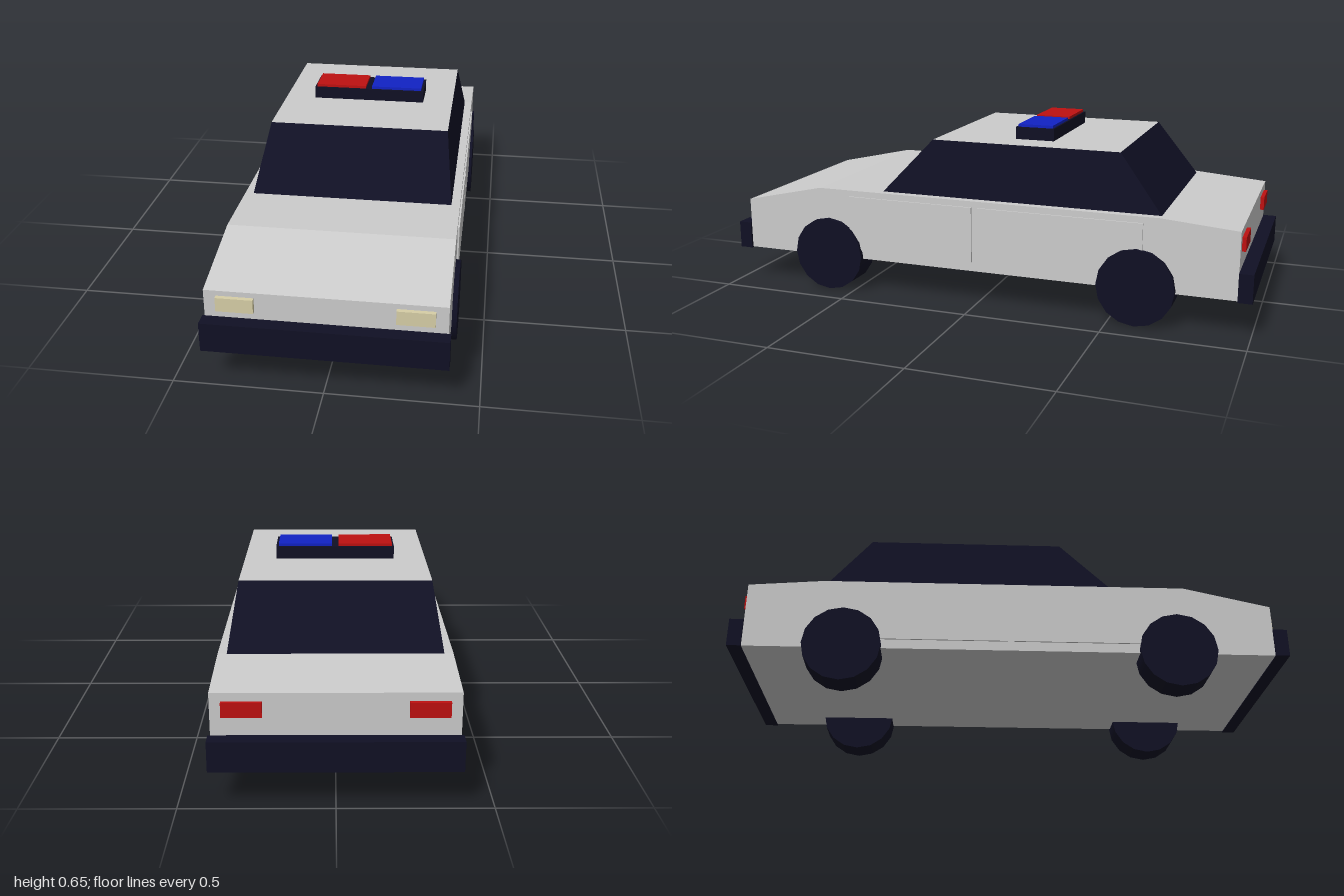
import * as THREE from 'three';

const paint = (name, color) => new THREE.MeshStandardMaterial({ name, color });

export function createModel() {
  const white = paint('bodyPaint', 0xcccccc);
  const dark = paint('darkTrim', 0x101024);
  const red = paint('redLamp', 0xbe1111);
  const blue = paint('blueLamp', 0x1122c4);
  const cream = paint('headlightCream', 0xd6cea6);

  const car = new THREE.Group();
  car.name = 'car';

  const add = (name, geometry, material) => {
    const mesh = new THREE.Mesh(geometry, material);
    mesh.name = name;
    car.add(mesh);
    return mesh;
  };
  // Box given by its limits on each axis
  const box = (name, material, [x0, x1], [y0, y1], [z0, z1]) =>
    add(name, new THREE.BoxGeometry(x1 - x0, y1 - y0, z1 - z0), material)
      .position.set((x0 + x1) / 2, (y0 + y1) / 2, (z0 + z1) / 2);

  // Lower body: side profile (z, y) extruded across the width
  const profile = new THREE.Shape([
    [0.95, 0.13], [0.95, 0.325], [0.635, 0.395], [-0.675, 0.395], [-0.95, 0.373], [-0.95, 0.13],
  ].map(([z, y]) => new THREE.Vector2(z, y)));
  const bodyGeometry = new THREE.ExtrudeGeometry(profile, { depth: 0.784, bevelEnabled: false });
  bodyGeometry.translate(0, 0, -0.392).rotateY(-Math.PI / 2);
  add('body', bodyGeometry, white);

  // Cabin: tapered box with dark glass sides and a painted roof
  const cabinGeometry = new THREE.BoxGeometry(1, 1, 1);
  const p = cabinGeometry.attributes.position;
  for (let i = 0; i < p.count; i++) {
    const top = p.getY(i) > 0;
    const front = p.getZ(i) > 0;
    const x = Math.sign(p.getX(i)) * (top ? 0.33 : 0.363);
    const z = front ? (top ? 0.187 : 0.39) : (top ? -0.52 : -0.685);
    p.setXYZ(i, x, top ? 0.6 : 0.385, z);
  }
  cabinGeometry.computeVertexNormals();
  add('cabin', cabinGeometry, [dark, dark, white, dark, dark, dark]);

  // Roof light bar with two lamps
  box('lightBar', dark, [-0.215, 0.215], [0.595, 0.645], [-0.243, -0.097]);
  box('redBeacon', red, [-0.208, -0.013], [0.64, 0.655], [-0.236, -0.104]);
  box('blueBeacon', blue, [0.011, 0.206], [0.64, 0.655], [-0.236, -0.104]);

  // Bumpers
  box('frontBumper', dark, [-0.4, 0.4], [0.127, 0.23], [0.95, 1]);
  box('rearBumper', dark, [-0.4, 0.4], [0.127, 0.23], [-1, -0.95]);

  const wheelGeometry = new THREE.CylinderGeometry(0.14, 0.14, 0.106, 16).rotateZ(Math.PI / 2);
  for (const [side, s] of [['left', 1], ['right', -1]]) {
    const span = (a, b) => (s > 0 ? [a, b] : [-b, -a]);

    // Lamps at both ends
    box(side + 'Headlight', cream, span(0.228, 0.351), [0.258, 0.307], [0.945, 0.965]);
    box(side + 'TailLight', red, span(0.228, 0.356), [0.295, 0.345], [-0.964, -0.945]);

    // Raised door panels
    box(side + 'FrontDoor', white, span(0.388, 0.398), [0.165, 0.372], [0.012, 0.51]);
    box(side + 'RearDoor', white, span(0.388, 0.398), [0.165, 0.372], [-0.62, -0.012]);

    // Wheels
    for (const [end, z] of [['Front', 0.6], ['Rear', -0.6]]) {
      add(side + end + 'Wheel', wheelGeometry, dark).position.set(s * 0.356, 0.14, z);
    }
  }
  return car;
}
